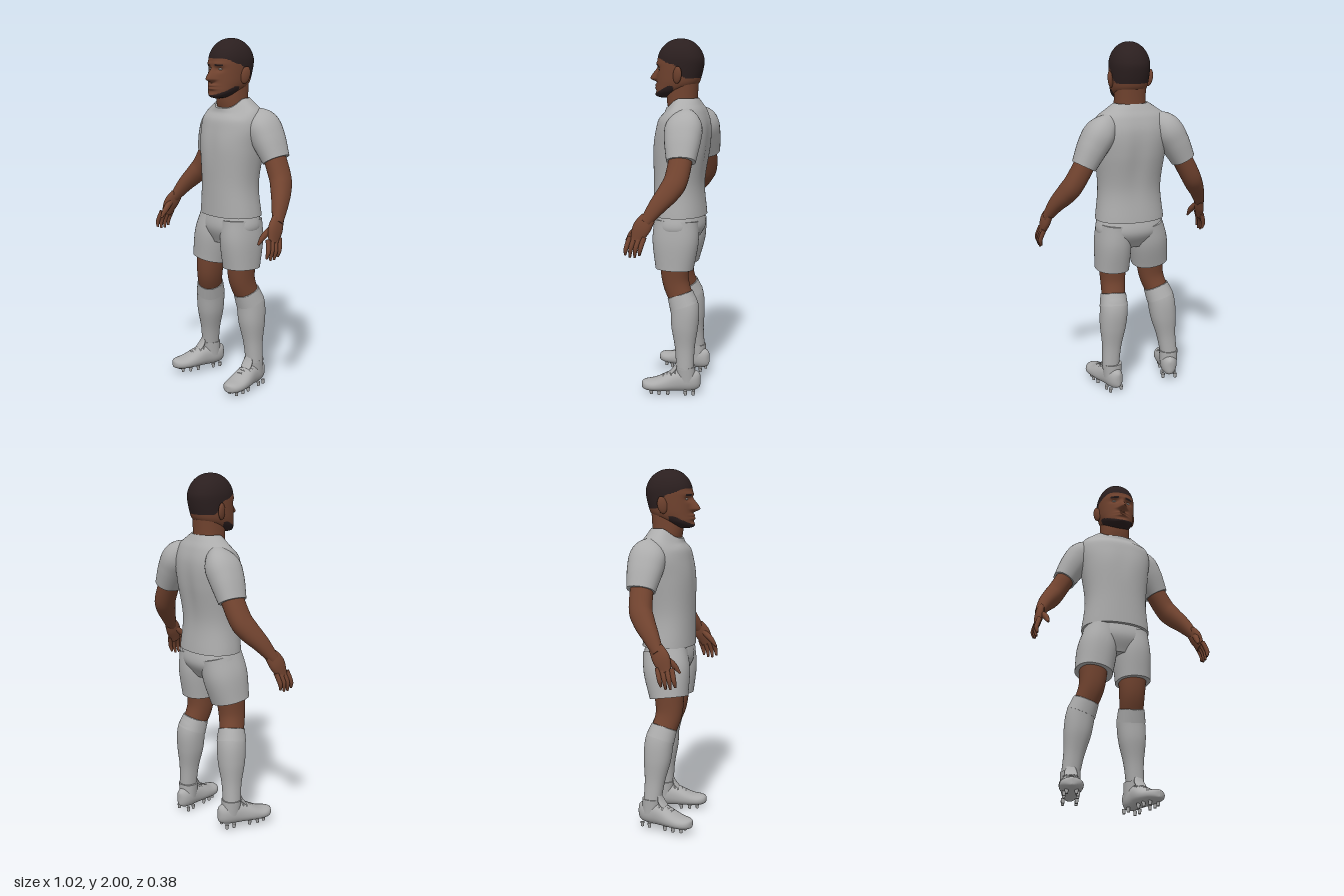
import * as THREE from 'three';

const V = (x, y, z) => new THREE.Vector3(x, y, z);
const gauss = (d, s) => Math.exp(-(d * d) / (s * s));
const { smoothstep: smooth, lerp } = THREE.MathUtils;

// Skin a smooth surface over cross-sections [x, y, z, radiusU, radiusV].
// flat: rings stay level; warp(v) reshapes points; paint(v) picks a material index.
function loft(keys, { seg = 40, steps = 32, ratio = 1, flat, warp, paint } = {}) {
  const spline = f => new THREE.CatmullRomCurve3(keys.map(f), false, 'catmullrom');
  const path = spline(k => V(k[0], k[1], k[2]));
  const size = spline(k => V(k[3], k[4] ?? k[3] * ratio, 0));
  const pos = [], tris = [];
  const pow = n => Math.sign(n) * Math.abs(n) ** 0.9;
  const ring = i => {
    const c = path.getPoint(i / steps), r = size.getPoint(i / steps);
    const t = flat ? V(0, 1, 0) : path.getTangent(i / steps);
    const u = V(1, 0, 0).addScaledVector(t, -t.x).normalize(), v = t.clone().cross(u);
    for (let j = 0; j < seg; j++) {
      const a = j / seg * Math.PI * 2;
      const p = c.clone().addScaledVector(u, Math.max(r.x, 0.001) * pow(Math.cos(a)))
        .addScaledVector(v, Math.max(r.y, 0.001) * pow(Math.sin(a)));
      if (warp) warp(p);
      pos.push(p);
    }
  };
  for (let i = 0; i <= steps; i++) ring(i);
  for (let i = 0; i < steps; i++) for (let j = 0; j < seg; j++) {
    const k = (j + 1) % seg, a = i * seg, b = a + seg;
    tris.push([a + j, a + k, b + k], [a + j, b + k, b + j]);
  }
  // separate end caps keep the rims crisp
  for (const i of [0, steps]) {
    const base = pos.length, mid = V(0, 0, 0);
    ring(i);
    for (let j = 0; j < seg; j++) {
      const a = base + j, b = base + (j + 1) % seg;
      mid.addScaledVector(pos[a], 1 / seg);
      tris.push(i ? [a, b, base + seg] : [b, a, base + seg]);
    }
    pos.push(mid);
  }
  const geo = new THREE.BufferGeometry().setFromPoints(pos);
  const bins = [[], []];
  for (const t of tris) {
    const m = V(0, 0, 0);
    t.forEach(i => m.addScaledVector(pos[i], 1 / 3));
    bins[paint ? paint(m) : 0].push(...t);
  }
  geo.setIndex(bins.flat());
  if (paint) {
    geo.addGroup(0, bins[0].length, 0);
    geo.addGroup(bins[0].length, bins[1].length, 1);
  }
  geo.computeVertexNormals();
  return geo;
}

// level cross-section from height, front z, back z and half width
const level = (y, front, back, w) => [0, y, (front + back) / 2, w, (front - back) / 2];

// face relief: nose, eye sockets, brow ridge, lips and chin
function shapeFace(p) {
  if (p.z < 0.02) return;
  const { x, y } = p, ax = Math.abs(x);
  const nose = smooth(y, 1.757, 1.782) * (1 - smooth(y, 1.775, 1.86));
  p.z += 0.045 * nose * gauss(x, 0.013 + 0.012 * nose)
    - 0.015 * gauss(ax - 0.042, 0.024) * gauss(y - 1.835, 0.015)
    + 0.006 * gauss(ax - 0.035, 0.04) * gauss(y - 1.862, 0.012)
    + 0.012 * gauss(x, 0.034) * (gauss(y - 1.746, 0.008) + gauss(y - 1.729, 0.008))
    + 0.008 * gauss(x, 0.035) * gauss(y - 1.692, 0.014);
}

// hairline, jaw beard and eyebrows
function hairMask({ x, y, z }) {
  const line = 1.785 + 0.075 * smooth(z, -0.07, 0) + 0.033 * smooth(z, 0, 0.1);
  const beard = z > 0 && y < 1.742 - 0.5 * Math.max(0, z - 0.03);
  const brow = z > 0.05 && Math.abs(Math.abs(x) - 0.043) < 0.023 && Math.abs(y - 1.857) < 0.004;
  return y > line || beard || brow ? 1 : 0;
}

// neckline dip, spine groove and chest line
function shapeShirt(p) {
  p.y -= 0.055 * smooth(p.z, -0.04, 0.06) * smooth(p.y, 1.54, 1.675);
  const mid = gauss(p.x, 0.05);
  if (p.z < -0.1) p.z += 0.012 * mid * gauss(p.y - 1.38, 0.17);
  else if (p.z > 0.05) p.z -= 0.006 * mid * gauss(p.y - 1.42, 0.1);
}

export function createModel() {
  const model = new THREE.Group();
  const mat = (name, color) => Object.assign(new THREE.MeshStandardMaterial({ color }), { name });
  const kit = mat('kit grey', 0xacacac), skin = mat('skin brown', 0x71432f);
  const hair = mat('hair dark', 0x2b1f1f), white = mat('eye white', 0xc9c2bc);
  const add = (name, geo, m, parent = model) => {
    const mesh = new THREE.Mesh(geo, m);
    mesh.name = name;
    parent.add(mesh);
    return mesh;
  };
  const group = (name, parent = model) => {
    const g = new THREE.Group();
    g.name = name;
    parent.add(g);
    return g;
  };

  // head: jaw and cheek sections below a rounded crown
  const headRings = [level(1.675, 0.09, 0.04, 0.012), level(1.685, 0.115, 0, 0.05),
    level(1.71, 0.118, -0.05, 0.08), level(1.75, 0.115, -0.115, 0.097), level(1.8, 0.113, -0.137, 0.104)];
  for (let i = 0; i <= 5; i++) {
    const a = i * Math.PI / 10, c = Math.cos(a);
    headRings.push([0, 1.87 + 0.13 * Math.sin(a), -0.02, 0.108 * c, 0.131 * c]);
  }
  add('head', loft(headRings, { seg: 112, steps: 140, flat: true, warp: shapeFace, paint: hairMask }), [skin, hair]);
  add('neck', loft([level(1.58, 0.04, -0.118, 0.09), level(1.67, 0.057, -0.114, 0.086),
    level(1.78, 0.05, -0.12, 0.085)], { flat: true }), skin);
  const ball = new THREE.SphereGeometry(1, 24, 16);
  for (const s of [1, -1]) {
    const ear = add('ear', ball, skin);
    ear.position.set(s * 0.112, 1.802, -0.03);
    ear.scale.set(0.014, 0.048, 0.027);
    ear.rotation.set(-0.2, s * -0.35, s * -0.15);
    const eye = add('eye', ball, white);
    eye.position.set(s * 0.042, 1.835, 0.086);
    eye.scale.set(0.014, 0.006, 0.012);
  }

  // shirt body and hips of the shorts
  add('shirtBody', loft([level(1.02, 0.125, -0.165, 0.196), level(1.2, 0.125, -0.152, 0.179),
    level(1.4, 0.126, -0.182, 0.2), level(1.52, 0.105, -0.184, 0.214), level(1.6, 0.08, -0.163, 0.194),
    level(1.645, 0.065, -0.138, 0.14), level(1.675, 0.06, -0.12, 0.096)],
  { seg: 64, steps: 50, flat: true, warp: shapeShirt }), kit);
  add('shortsHips', loft([level(0.86, 0.08, -0.1, 0.12), level(0.95, 0.116, -0.156, 0.194),
    level(1.05, 0.1, -0.14, 0.175)], { flat: true }), kit);

  // arms: sleeve, bare arm, palm, fingers and thumb
  for (const s of [1, -1]) {
    const arm = group(s > 0 ? 'leftArm' : 'rightArm');
    const limb = (name, m, ratio, ...keys) =>
      add(name, loft(keys.map(([x, ...rest]) => [s * x, ...rest]), { ratio, seg: 28, steps: 24 }), m, arm);
    limb('sleeve', kit, 1.2, [0.12, 1.583, -0.07, 0.05], [0.185, 1.53, -0.087, 0.083],
      [0.235, 1.455, -0.093, 0.082], [0.29, 1.35, -0.1, 0.066]);
    limb('bareArm', skin, 1.15, [0.25, 1.42, -0.1, 0.055], [0.335, 1.265, -0.088, 0.055],
      [0.375, 1.2, -0.06, 0.052], [0.422, 1.13, -0.01, 0.041], [0.464, 1.045, 0.045, 0.026]);
    limb('palm', skin, 2, [0.455, 1.07, 0.03, 0.02], [0.47, 1.015, 0.064, 0.024], [0.484, 0.95, 0.09, 0.016]);
    for (let i = 0; i < 4; i++) {
      const z = 0.046 + 0.026 * i;
      limb('finger', skin, 1, [0.482, 0.97, z, 0.013], [0.5, 0.91, z + 0.016, 0.012],
        [0.495, 0.86 + 0.006 * (i - 1.5) ** 2, z + 0.023, 0.006]);
    }
    limb('thumb', skin, 1, [0.462, 1.03, 0.07, 0.017], [0.446, 0.985, 0.122, 0.016], [0.44, 0.94, 0.158, 0.006]);
  }

  // legs: each joint is a centre point, and the stance is uneven
  const legs = [
    { name: 'leftLeg', s: 1, hem: [0.103, 0.722, -0.012], hemSize: 0.096, knee: [0.1, 0.65, -0.018],
      calf: [0.113, 0.5, -0.074], ankle: [0.138, 0.15, -0.083], foot: [0.135, 0, -0.065], turn: 0.22 },
    { name: 'rightLeg', s: -1, hem: [-0.136, 0.738, 0.015], hemSize: 0.105, knee: [-0.149, 0.65, 0.018],
      calf: [-0.196, 0.5, -0.024], ankle: [-0.24, 0.15, -0.055], foot: [-0.242, 0.015, -0.035], turn: -0.24 },
  ];
  // shoe sections from heel to toe: rounded ends, wide ball, sloping instep
  const instep = k => lerp(0.146, 0.085, smooth(k, 0.3, 0.85));
  const shoeRings = [];
  for (let i = 0; i <= 16; i++) {
    const k = (1 - Math.cos(i / 16 * Math.PI)) / 2, end = (1 - Math.abs(2 * k - 1) ** 5) ** 0.5;
    const half = (instep(k) - 0.016) / 2;
    shoeRings.push([0, half + 0.016, lerp(-0.105, 0.23, k),
      end * (0.05 + 0.014 * smooth(k, 0.3, 0.65)), half * (0.4 + 0.6 * end)]);
  }

  for (const { name, s, hem, hemSize, knee, calf, ankle, foot, turn } of legs) {
    const leg = group(name);
    const between = (a, b, k) => a.map((n, i) => lerp(n, b[i], k));
    const cuff = between(knee, calf, 0.5);
    add('shortsLeg', loft([[s * 0.095, 1, -0.02, 0.091, 0.125],
      [...between([s * 0.095, 1, -0.02], hem, 0.45), hemSize + 0.005, 0.13], [...hem, hemSize, 0.107]]), kit, leg);
    add('knee', loft([[hem[0], 0.8, hem[2], 0.081], [...knee, 0.07],
      [...between(knee, calf, 0.8), 0.063]], { ratio: 1.06 }), skin, leg);
    add('sock', loft([[...cuff, 0.069], [...calf, 0.078], [...between(calf, ankle, 0.3), 0.074],
      [...between(calf, ankle, 0.65), 0.055], [...ankle, 0.048]], { ratio: 1.02 }), kit, leg);
    add('sockCuff', loft([[...cuff, 0.072], [...between(cuff, calf, 0.9), 0.08]], { steps: 8, ratio: 1.02 }), kit, leg);

    // studded shoe
    const shoe = group('shoe', leg);
    shoe.position.set(...foot);
    shoe.rotation.y = turn;
    add('shoeUpper', loft(shoeRings, { steps: 36 }), kit, shoe);
    add('shoeCollar', loft([[0, 0.08, -0.025, 0.05], [0, 0.163, -0.02, 0.055]], { flat: true, steps: 8 }), kit, shoe);
    add('shoeTongue', loft([[0, 0.125, 0.06, 0.033], [0, 0.155, 0.037, 0.033], [0, 0.19, 0.024, 0.02]],
      { ratio: 0.3, steps: 12 }), kit, shoe);
    for (let i = 0; i < 4; i++) {
      const z = 0.04 + 0.022 * i, y = instep((z + 0.105) / 0.335) + 0.003;
      const lace = new THREE.QuadraticBezierCurve3(V(-0.04, y - 0.017, z), V(0, y + 0.015, z), V(0.04, y - 0.017, z));
      add('lace', new THREE.TubeGeometry(lace, 10, 0.005, 8), kit, shoe);
    }
    for (const z of [-0.065, -0.02, 0.08, 0.13, 0.175]) for (const side of [1, -1])
      add('stud', new THREE.CylinderGeometry(0.011, 0.008, 0.026, 10), kit, shoe)
        .position.set(side * (z > 0.15 ? 0.025 : 0.036), 0.013, z);
  }
  return model;
}
